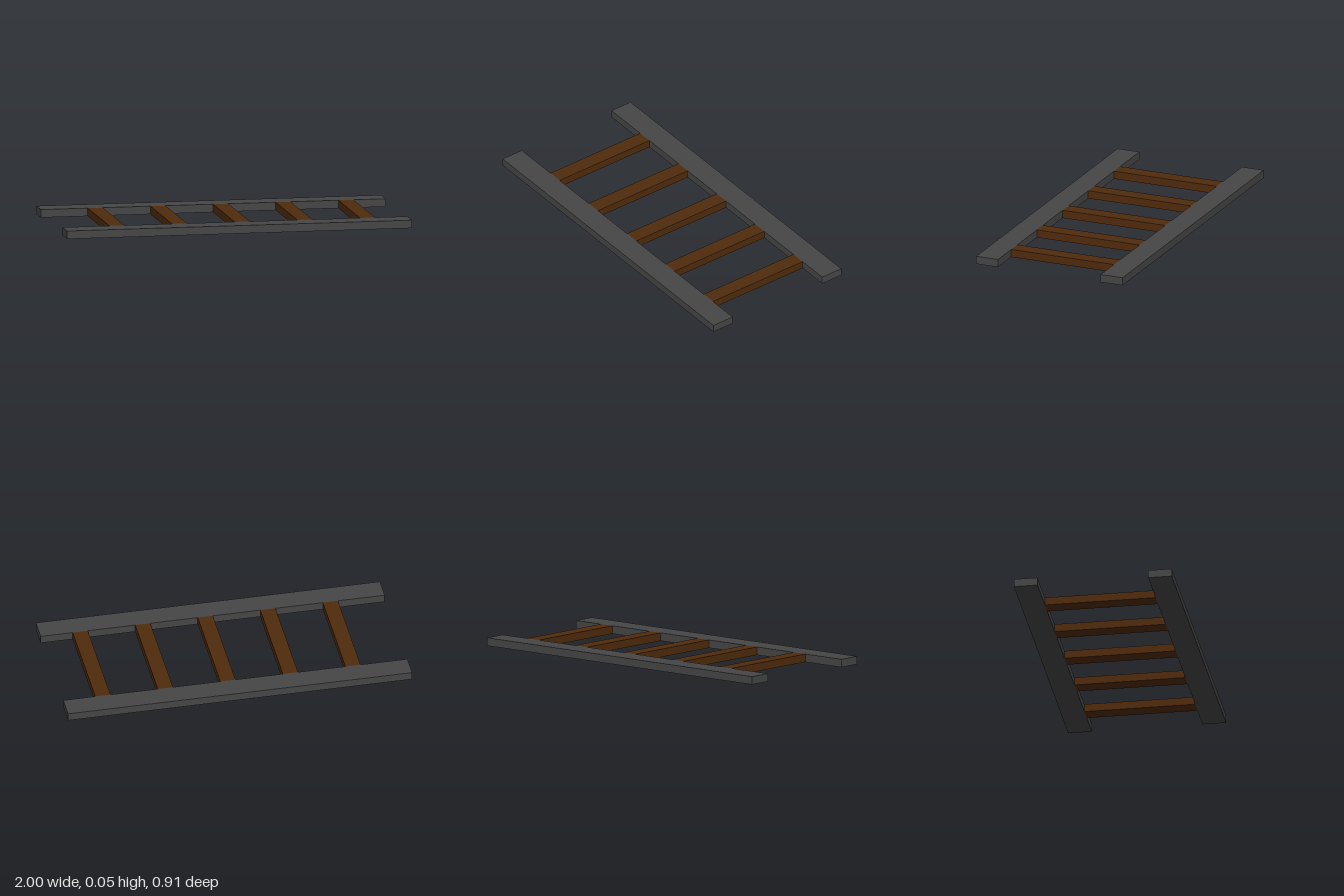
import * as THREE from 'three';

const HEIGHT = 0.046;

export function createModel() {
  const model = new THREE.Group();
  model.name = 'track';

  const railGray = new THREE.MeshStandardMaterial({ color: 0x464646 });
  railGray.name = 'dark gray';
  const woodBrown = new THREE.MeshStandardMaterial({ color: 0x502b0c });
  woodBrown.name = 'wood brown';

  // Box resting on the ground
  function addBar(name, width, depth, x, z, material) {
    const bar = new THREE.Mesh(new THREE.BoxGeometry(width, HEIGHT, depth), material);
    bar.name = name;
    bar.position.set(x, HEIGHT / 2, z);
    model.add(bar);
  }

  // Two long rails
  addBar('frontRail', 2, 0.136, 0, 0.387, railGray);
  addBar('backRail', 2, 0.136, 0, -0.387, railGray);

  // Five crossbars between the rails, slightly off centre along the length
  for (let i = 0; i < 5; i++) {
    addBar(`crossbar${i + 1}`, 0.088, 0.638, -0.684 + i * 0.3635, 0, woodBrown);
  }

  return model;
}
